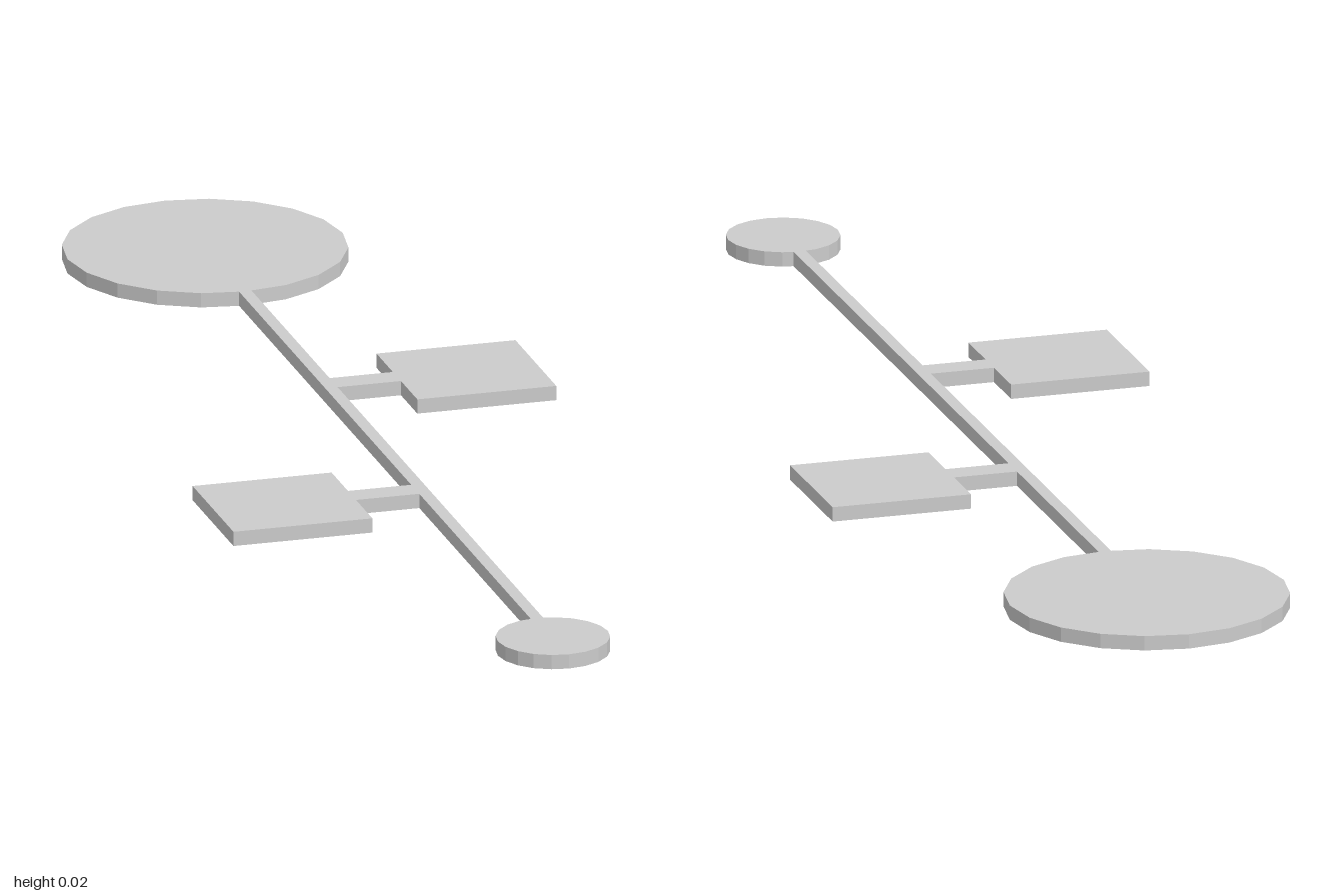
import * as THREE from 'three';

const THICK = 0.021;

export function createModel() {
  const model = new THREE.Group();
  const material = new THREE.MeshStandardMaterial({ color: 0xcccccc, flatShading: true });

  function add(name, geometry, x, z) {
    const mesh = new THREE.Mesh(geometry, material);
    mesh.name = name;
    mesh.position.set(x, THICK / 2, z);
    model.add(mesh);
  }
  const disc = (name, radius, z) =>
    add(name, new THREE.CylinderGeometry(radius, radius, THICK, 20), 0, z);
  const slab = (name, width, depth, x, z) =>
    add(name, new THREE.BoxGeometry(width, THICK, depth), x, z);

  // Round ends joined by a thin straight path
  disc('largeDisc', 0.2, -0.8);
  disc('smallDisc', 0.08, 0.92);
  slab('path', 0.018, 1.445, 0, 0.12);

  // Square platforms on short side branches
  for (const [label, side, z] of [['left', 1, -0.195], ['right', -1, 0.27]]) {
    slab(label + 'Platform', 0.202, 0.202, side * 0.202, z);
    slab(label + 'Branch', 0.094, 0.04, side * 0.055, z);
  }
  return model;
}
